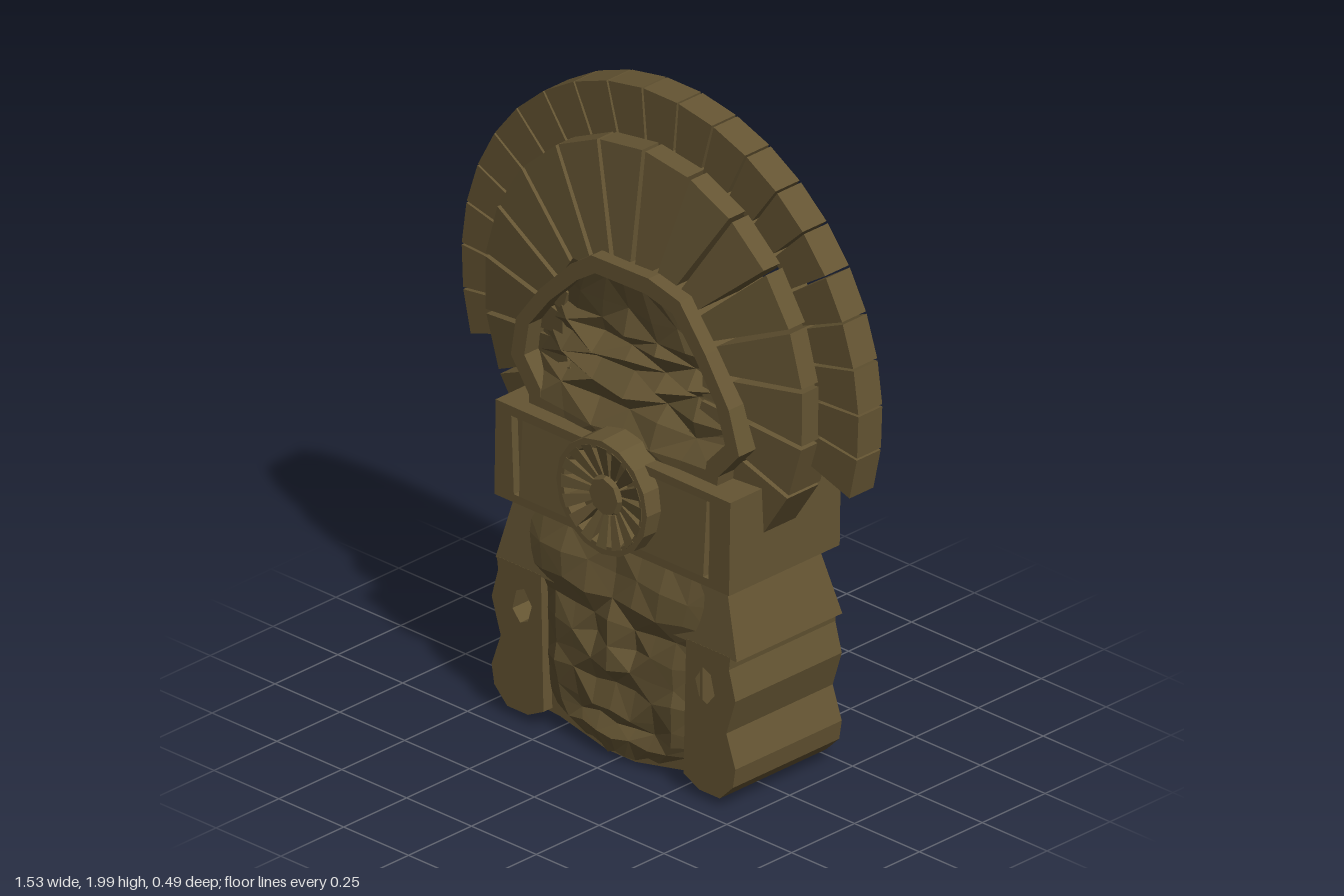
import * as THREE from 'three';

const stone = new THREE.MeshStandardMaterial({ color: 0x655533 });
stone.name = 'olive stone';

function mesh(name, geometry) {
  const m = new THREE.Mesh(geometry, stone);
  m.name = name;
  return m;
}

const facet = (geo) => {
  const g = geo.index ? geo.toNonIndexed() : geo;
  g.computeVertexNormals();
  return g;
};

// Flat outline pushed from z0 to z1, with an optional hole
function slab(name, pts, z0, z1, hole) {
  const shape = new THREE.Shape(pts.map(([x, y]) => new THREE.Vector2(x, y)));
  if (hole) shape.holes.push(new THREE.Path(hole.map(([x, y]) => new THREE.Vector2(x, y))));
  const g = new THREE.ExtrudeGeometry(shape, { depth: z1 - z0, bevelEnabled: false });
  g.translate(0, 0, z0);
  return mesh(name, g);
}

// Unit box reshaped: lo/hi = [xMin, xMax, zBack, zFront] at y0 and y1
function taper(name, y0, y1, lo, hi) {
  const g = new THREE.BoxGeometry(1, 1, 1);
  const p = g.attributes.position;
  for (let i = 0; i < p.count; i++) {
    const e = p.getY(i) > 0 ? hi : lo;
    p.setXYZ(i, p.getX(i) > 0 ? e[1] : e[0], p.getY(i) > 0 ? y1 : y0, p.getZ(i) > 0 ? e[3] : e[2]);
  }
  return mesh(name, facet(g));
}

// Faceted carved surface: each row is [y, halfWidth, depths...], top row first
function relief(name, rows) {
  const pos = [], idx = [];
  const n = rows[0].length - 2;
  rows.forEach(([y, hw, ...zs], r) => zs.forEach((z, c) => {
    const f = (c / (n - 1)) * 2 - 1;
    pos.push(f * hw, y + 0.008 * Math.sin(c * 2.3 + r * 1.7), z);
    if (r && c) {
      const d = r * n + c, b = d - n;
      if ((r + c) % 2) idx.push(b - 1, d - 1, b, b, d - 1, d);
      else idx.push(b - 1, d - 1, d, b - 1, d, b);
    }
  }));
  const g = new THREE.BufferGeometry();
  g.setAttribute('position', new THREE.Float32BufferAttribute(pos, 3));
  g.setIndex(idx);
  return mesh(name, facet(g));
}

// Fan of feathers around the headdress centre
function fan(name, count, span, r0, r1, w0, w1, zBack, zIn, zOut) {
  const group = new THREE.Group();
  group.name = name;
  for (let i = 0; i < count; i++) {
    const f = taper('feather', r0, r1, [-w0 / 2, w0 / 2, zBack, zIn], [-w1 / 2, w1 / 2, zBack, zOut]);
    f.rotation.z = ((i + 0.5) / count - 0.5) * span;
    group.add(f);
  }
  group.position.y = 1.235;
  return group;
}

function createRosette() {
  const g = new THREE.Group();
  g.name = 'rosette';
  const disc = new THREE.CylinderGeometry(0.165, 0.165, 0.06, 16).rotateX(Math.PI / 2);
  g.add(mesh('rosetteDisc', facet(disc.translate(0, 0, 0.17))));
  // Raised outer rim with a bevelled inside
  const profile = [[0.155, 0.15], [0.178, 0.15], [0.175, 0.245], [0.15, 0.245], [0.13, 0.2]]
    .map(([x, y]) => new THREE.Vector2(x, y));
  g.add(mesh('rosetteRim', facet(new THREE.LatheGeometry(profile, 16).rotateX(Math.PI / 2))));
  // Petals and centre boss
  for (let i = 0; i < 16; i++) {
    const petal = taper('petal', 0.06, 0.155, [-0.009, 0.009, 0.18, 0.225], [-0.02, 0.02, 0.18, 0.247]);
    petal.rotation.z = (i / 16) * Math.PI * 2;
    g.add(petal);
  }
  const boss = new THREE.CylinderGeometry(0.055, 0.08, 0.06, 8).rotateX(Math.PI / 2);
  g.add(mesh('rosetteBoss', facet(boss.translate(0, 0, 0.208))));
  g.position.set(0.012, 0.845, 0);
  return g;
}

export function createModel() {
  const model = new THREE.Group();
  model.name = 'carvedMask';

  // Feather crown
  model.add(fan('outerFeathers', 21, 3.76, 0.6, 0.763, 0.098, 0.13, -0.095, 0, 0));
  model.add(fan('innerFeathers', 16, 4.6, 0.27, 0.61, 0.06, 0.163, -0.06, 0.11, 0.065));

  // Domed crest with raised rim
  const dome = [[-0.36, 0.94], [0.36, 0.94], [0.37, 1.0], [0.45, 1.09], [0.41, 1.22], [0.32, 1.36],
    [0.22, 1.49], [0.1, 1.52], [-0.12, 1.515], [-0.2, 1.46], [-0.32, 1.34], [-0.41, 1.22], [-0.43, 1.1], [-0.36, 1.0]];
  const inner = dome.map(([x, y]) => [x * 0.88, 1.2 + (y - 1.2) * 0.84]);
  model.add(slab('crestBack', dome, -0.16, 0.06));
  model.add(slab('crestRim', dome, 0.06, 0.15, inner));
  model.add(relief('crestCarving', [
    [1.475, 0.2, 0.14, 0.15, 0.145, 0.15, 0.145, 0.15, 0.14],
    [1.38, 0.28, 0.1, 0.125, 0.13, 0.125, 0.13, 0.125, 0.1],
    [1.31, 0.32, 0.08, 0.11, 0.12, 0.145, 0.12, 0.12, 0.08],
    [1.27, 0.34, 0.08, 0.14, 0.1, 0.11, 0.14, 0.09, 0.08],
    [1.22, 0.36, 0.08, 0.1, 0.15, 0.14, 0.1, 0.14, 0.08],
    [1.18, 0.37, 0.08, 0.14, 0.1, 0.1, 0.15, 0.1, 0.08],
    [1.12, 0.38, 0.09, 0.09, 0.14, 0.15, 0.1, 0.13, 0.09],
    [1.07, 0.37, 0.1, 0.14, 0.11, 0.12, 0.14, 0.11, 0.1],
    [1.0, 0.34, 0.15, 0.15, 0.16, 0.155, 0.16, 0.15, 0.15],
    [0.94, 0.32, 0.15, 0.15, 0.15, 0.15, 0.15, 0.15, 0.15],
  ]));

  // Headband with framed front
  const band = [[-0.445, 0.68], [0.46, 0.68], [0.465, 0.97], [-0.44, 0.975]];
  const panel = [[-0.37, 0.705], [0.38, 0.705], [0.39, 0.945], [-0.38, 0.945]];
  model.add(slab('headband', band, -0.24, 0.175));
  model.add(slab('headbandFrame', band, 0.175, 0.2, panel));
  model.add(taper('headbandPanel', 0.705, 0.94, [-0.35, 0.36, 0.16, 0.2], [-0.35, 0.36, 0.16, 0.185]));
  model.add(createRosette());

  // Head: flared brow block, jaw block and pierced ears
  model.add(taper('browBlock', 0.475, 0.69, [-0.455, 0.475, -0.235, 0.185], [-0.4, 0.41, -0.2, 0.16]));
  model.add(slab('jawBlock', [[-0.31, 0.05], [-0.24, 0.045], [-0.06, 0.005], [0.05, 0.005], [0.24, 0.045],
    [0.31, 0.05], [0.31, 0.48], [-0.31, 0.48]], -0.235, 0.15));
  const ear = [[0.28, 0.48], [0.45, 0.48], [0.445, 0.44], [0.47, 0.35], [0.435, 0.24], [0.47, 0.14],
    [0.46, 0.08], [0.41, 0.03], [0.33, 0.03], [0.27, 0.06]];
  const earHole = [[0.315, 0.37], [0.345, 0.415], [0.375, 0.4], [0.39, 0.34], [0.36, 0.305], [0.33, 0.32]];
  for (const s of [1, -1]) {
    const flip = (pts) => pts.map(([x, y]) => [x * s, y]);
    model.add(slab(s > 0 ? 'leftEar' : 'rightEar', flip(ear), -0.238, 0.185, flip(earHole)));
  }

  // Carved face: brows, eyes, nose, cheeks and mouth
  model.add(relief('face', [
    [0.675, 0.38, 0.15, 0.165, 0.165, 0.165, 0.17, 0.165, 0.165, 0.165, 0.15],
    [0.59, 0.38, 0.16, 0.185, 0.2, 0.19, 0.175, 0.19, 0.2, 0.185, 0.16],
    [0.51, 0.36, 0.17, 0.19, 0.205, 0.21, 0.19, 0.21, 0.205, 0.19, 0.17],
    [0.44, 0.31, 0.15, 0.175, 0.175, 0.18, 0.21, 0.18, 0.175, 0.175, 0.15],
    [0.37, 0.3, 0.15, 0.185, 0.195, 0.17, 0.212, 0.17, 0.195, 0.185, 0.15],
    [0.3, 0.3, 0.15, 0.18, 0.19, 0.2, 0.215, 0.2, 0.19, 0.18, 0.15],
    [0.24, 0.3, 0.15, 0.19, 0.19, 0.175, 0.175, 0.175, 0.19, 0.19, 0.15],
    [0.16, 0.29, 0.15, 0.18, 0.175, 0.195, 0.2, 0.195, 0.175, 0.18, 0.15],
    [0.12, 0.28, 0.15, 0.175, 0.165, 0.165, 0.17, 0.165, 0.165, 0.175, 0.15],
    [0.08, 0.25, 0.15, 0.17, 0.18, 0.19, 0.195, 0.19, 0.18, 0.17, 0.15],
    [0.025, 0.13, 0.145, 0.15, 0.165, 0.175, 0.18, 0.175, 0.165, 0.15, 0.145],
  ]));

  return model;
}
